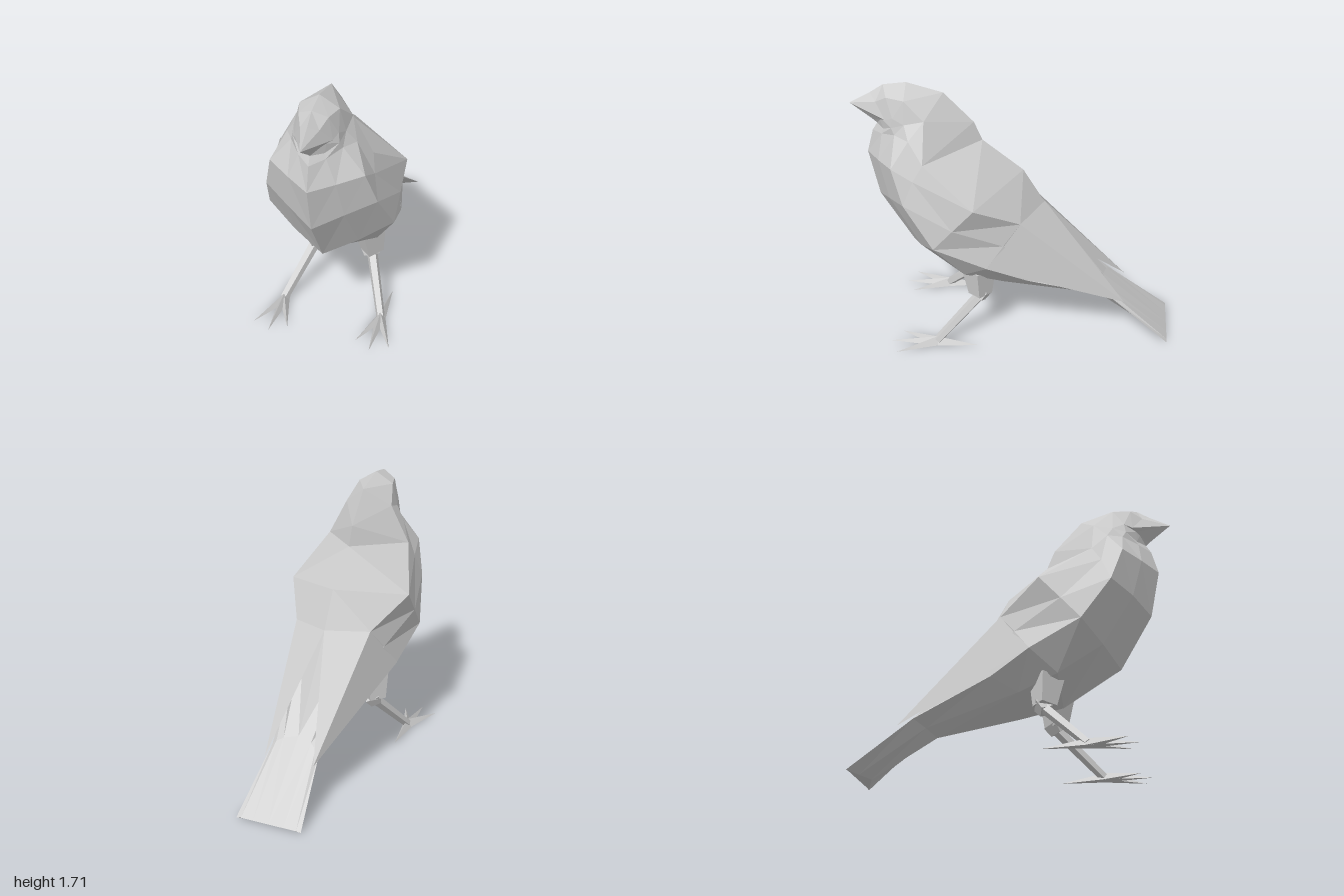
import * as THREE from 'three';

const material = new THREE.MeshStandardMaterial({ color: 0xcccccc, flatShading: true, side: THREE.DoubleSide });
const V = (p) => new THREE.Vector3(...p);

// Mesh from a list of triangles, optionally mirrored across x = 0
function facets(name, tris, mirror) {
  const pos = [];
  for (const t of tris) {
    const [a, b, c] = t.map(V);
    if (b.clone().sub(a).cross(c.clone().sub(a)).length() < 1e-6) continue;
    pos.push(...t.flat());
    if (mirror) for (const p of [t[0], t[2], t[1]]) pos.push(-p[0], p[1], p[2]);
  }
  const g = new THREE.BufferGeometry();
  g.setAttribute('position', new THREE.Float32BufferAttribute(pos, 3));
  g.computeVertexNormals();
  const m = new THREE.Mesh(g, material);
  m.name = name;
  return m;
}

// Skin half cross-sections (spine to belly) and mirror the result
function loft(name, rings) {
  const tris = [];
  for (let i = 0; i < rings.length - 1; i++) {
    for (let j = 0; j < rings[i].length - 1; j++) {
      const a = rings[i][j], b = rings[i][j + 1], c = rings[i + 1][j + 1], d = rings[i + 1][j];
      if (j < 3) tris.push([a, b, d], [b, c, d]);
      else tris.push([a, b, c], [a, c, d]);
    }
  }
  return facets(name, tris, true);
}

// Tapered prism between two points
function strut(name, from, to, r0, r1, sides) {
  const a = V(from), b = V(to), dir = b.clone().sub(a);
  const g = new THREE.CylinderGeometry(r1, r0, dir.length(), sides);
  g.rotateY(Math.PI / sides);
  const m = new THREE.Mesh(g, material);
  m.quaternion.setFromUnitVectors(new THREE.Vector3(0, 1, 0), dir.normalize());
  m.position.copy(a.add(b).multiplyScalar(0.5));
  m.name = name;
  return m;
}

// One pointed toe: ridge falling from the ankle to the tip
function toe(ankle, tip) {
  const [x, , z] = ankle;
  const dx = tip[0] - x, dz = tip[2] - z, k = 0.032 / Math.hypot(dx, dz);
  const l = [x + dz * k, 0, z - dx * k], r = [x - dz * k, 0, z + dx * k];
  return facets('toe', [[ankle, tip, l], [ankle, r, tip], [l, tip, r], [ankle, l, r]]);
}

function leg(side) {
  const leg = new THREE.Group();
  leg.name = side > 0 ? 'leftLeg' : 'rightLeg';
  const ankle = [side * 0.32, 0.05, 0.48];
  leg.add(strut('thigh', [side * 0.165, 0.5, 0.22], [side * 0.188, 0.32, 0.21], 0.11, 0.075, 4));
  leg.add(strut('knee', [side * 0.17, 0.34, 0.19], [side * 0.19, 0.285, 0.22], 0.065, 0.05, 4));
  leg.add(strut('shin', [side * 0.18, 0.32, 0.195], [side * 0.32, 0.02, 0.48], 0.036, 0.028, 5));
  const tips = [[0.44, 0.73], [0.325, 0.78], [0.22, 0.72], [0.33, 0.21]];
  for (const [x, z] of tips) leg.add(toe(ankle, [side * x, 0.002, z]));
  return leg;
}

export function createModel() {
  const bird = new THREE.Group();
  bird.name = 'bird';

  // Half sections: spine, shoulder line, side, flank, lower flank, belly
  const face = [[0, 1.635, 0.87], [0.055, 1.6, 0.83], [0.11, 1.51, 0.77], [0.08, 1.495, 0.79], [0.055, 1.48, 0.81], [0, 1.45, 0.86]];
  const head = [
    face,
    [[0, 1.69, 0.79], [0.085, 1.645, 0.76], [0.13, 1.53, 0.72], [0.135, 1.47, 0.73], [0.07, 1.43, 0.79], [0, 1.43, 0.84]],
    [[0, 1.71, 0.65], [0.115, 1.64, 0.65], [0.15, 1.5, 0.65], [0.15, 1.43, 0.71], [0.08, 1.4, 0.8], [0, 1.38, 0.87]],
    [[0, 1.65, 0.43], [0.155, 1.53, 0.53], [0.205, 1.42, 0.62], [0.28, 1.27, 0.72], [0.14, 1.25, 0.82], [0, 1.23, 0.91]],
  ];
  const torso = [
    head[3],
    [[0, 1.46, 0.25], [0.275, 1.3, 0.53], [0.3, 1.2, 0.59], [0.335, 1.05, 0.65], [0.17, 1.0, 0.76], [0, 0.93, 0.85]],
    [[0, 1.34, 0.2], [0.4, 1.07, 0.22], [0.395, 0.92, 0.35], [0.39, 0.78, 0.47], [0.2, 0.68, 0.57], [0, 0.59, 0.65]],
    [[0, 1.14, -0.05], [0.25, 0.9, -0.05], [0.305, 0.77, 0.05], [0.355, 0.63, 0.15], [0.245, 0.5, 0.3], [0, 0.37, 0.29]],
    [[0, 0.91, -0.185], [0.15, 0.8, -0.17], [0.24, 0.64, -0.13], [0.28, 0.5, -0.1], [0.19, 0.42, 0.05], [0, 0.32, 0.03]],
  ];
  const rump = [[0, 0.38, -0.57], [0.09, 0.36, -0.59], [0.13, 0.34, -0.61], [0.155, 0.32, -0.61], [0.08, 0.28, -0.55], [0, 0.24, -0.5]];
  const tailEnd = [[0, 0.01, -1], [0.1, 0.01, -1], [0.18, 0.01, -1], [0.21, 0.005, -1], [0.105, 0.003, -0.955], [0, 0.003, -0.91]];

  bird.add(loft('beak', [face.map(() => [0, 1.56, 1]), face]));
  bird.add(loft('head', head));
  bird.add(loft('body', [...torso, rump]));
  bird.add(loft('tail', [rump, tailEnd, tailEnd.map(() => [0, 0.006, -0.97])]));

  // Folded wings lying over the rump
  const shoulder = [0.25, 0.9, -0.05], elbow = [0.357, 0.63, 0.15], tip = [0.16, 0.28, -0.71], spine = [0, 0.92, -0.185];
  bird.add(facets('wings', [[shoulder, elbow, tip], [spine, shoulder, tip]], true));

  for (const side of [1, -1]) bird.add(leg(side));
  return bird;
}
